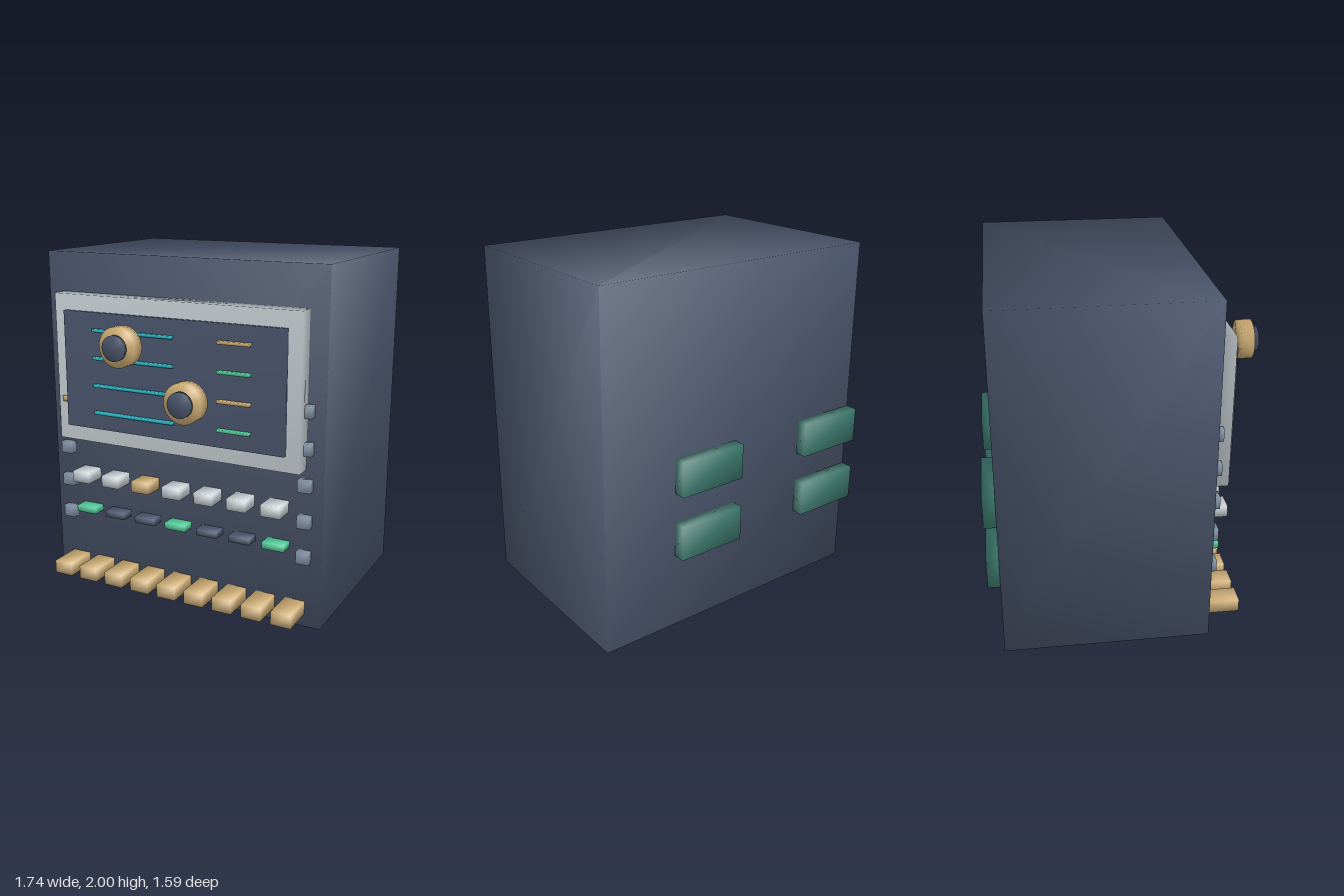
import * as THREE from 'three';
import { mergeVertices } from 'three/addons/utils/BufferGeometryUtils.js';

const paint = (name, color) => {
  const m = new THREE.MeshStandardMaterial({ color });
  m.name = name;
  return m;
};

// Shares the corners so that shading runs smoothly over the edges
function soften(geometry) {
  geometry.deleteAttribute('normal');
  geometry.deleteAttribute('uv');
  const g = mergeVertices(geometry);
  g.clearGroups();
  g.computeVertexNormals();
  return g;
}

export function createModel() {
  const navy = paint('navy', 0x4a556c);
  const silver = paint('silver', 0xc5cdd2);
  const gold = paint('gold', 0xcbab73);
  const steel = paint('steel', 0x8797aa);
  const cyan = paint('cyan', 0x2fbccb);
  const green = paint('light green', 0x4fc797);
  const teal = paint('dark teal', 0x3c776c);

  const model = new THREE.Group();
  model.name = 'controlCabinet';

  // Box given by its limits on each axis
  function box(name, material, [x0, x1], [y0, y1], [z0, z1]) {
    const geometry = soften(new THREE.BoxGeometry(x1 - x0, y1 - y0, z1 - z0));
    const mesh = new THREE.Mesh(geometry, material);
    mesh.name = name;
    mesh.position.set((x0 + x1) / 2, (y0 + y1) / 2, (z0 + z1) / 2);
    model.add(mesh);
  }

  // Disc facing forward
  function disc(name, material, x, y, radius, [z0, z1]) {
    const geometry = soften(new THREE.CylinderGeometry(radius, radius, z1 - z0, 32).rotateX(Math.PI / 2));
    const mesh = new THREE.Mesh(geometry, material);
    mesh.name = name;
    mesh.position.set(x, y, (z0 + z1) / 2);
    model.add(mesh);
  }

  const span = (centre, size) => [centre - size / 2, centre + size / 2];
  const front = 0.436;

  // Cabinet, screen frame and screen
  box('cabinet', navy, [-0.87, 0.87], [0, 2], [-0.727, front]);
  box('screenFrame', silver, [-0.765, 0.765], [0.914, 1.773], [front, 0.53]);
  box('screen', navy, [-0.688, 0.688], [1.006, 1.682], [0.52, 0.558]);
  box('frameTab', gold, [-0.733, -0.67], [1.142, 1.174], [0.5, 0.543]);

  // Display lines
  for (let i = 0; i < 4; i++) {
    const y = span(1.584 - i * 0.159, 0.017);
    box('longDisplayLine', cyan, [-0.485, 0.03], y, [0.557, 0.579]);
    box('shortDisplayLine', i % 2 ? green : gold, [0.305, 0.498], y, [0.557, 0.585]);
  }

  // Floating dials with dark caps
  for (const [x, y] of [[-0.2, 1.541], [0.195, 1.279]]) {
    disc('dial', gold, x, y, 0.112, [0.684, 0.759]);
    disc('dialCap', navy, x, y, 0.07, [0.77, 0.794]);
  }

  // Clips down both sides
  for (const side of [-1, 1]) {
    for (let i = 0; i < 5; i++) {
      box('sideClip', steel, span(side * 0.77, 0.073), span(1.242 - i * 0.205, 0.07), [front, 0.479]);
    }
  }

  // Push buttons above indicator lamps
  for (let i = 0; i < 7; i++) {
    const x = (i - 3) * 0.2045;
    box('pushButton', i === 2 ? gold : silver, span(x, 0.113), [0.657, 0.723], [front, 0.56]);
    box('indicatorLamp', i % 3 ? navy : green, span(x, 0.13), [0.453, 0.49], [front, 0.518]);
  }

  // Row of keys along the foot
  for (let i = 0; i < 9; i++) {
    box('key', gold, span((i - 4) * 0.1795, 0.118), [0.074, 0.151], [front, 0.632]);
  }

  // Back panels
  for (const x of [-0.667, 0.217]) {
    for (const y of [0.916, 0.54]) {
      box('backPanel', teal, span(x, 0.408), span(y, 0.202), [-0.795, -0.727]);
    }
  }
  return model;
}
